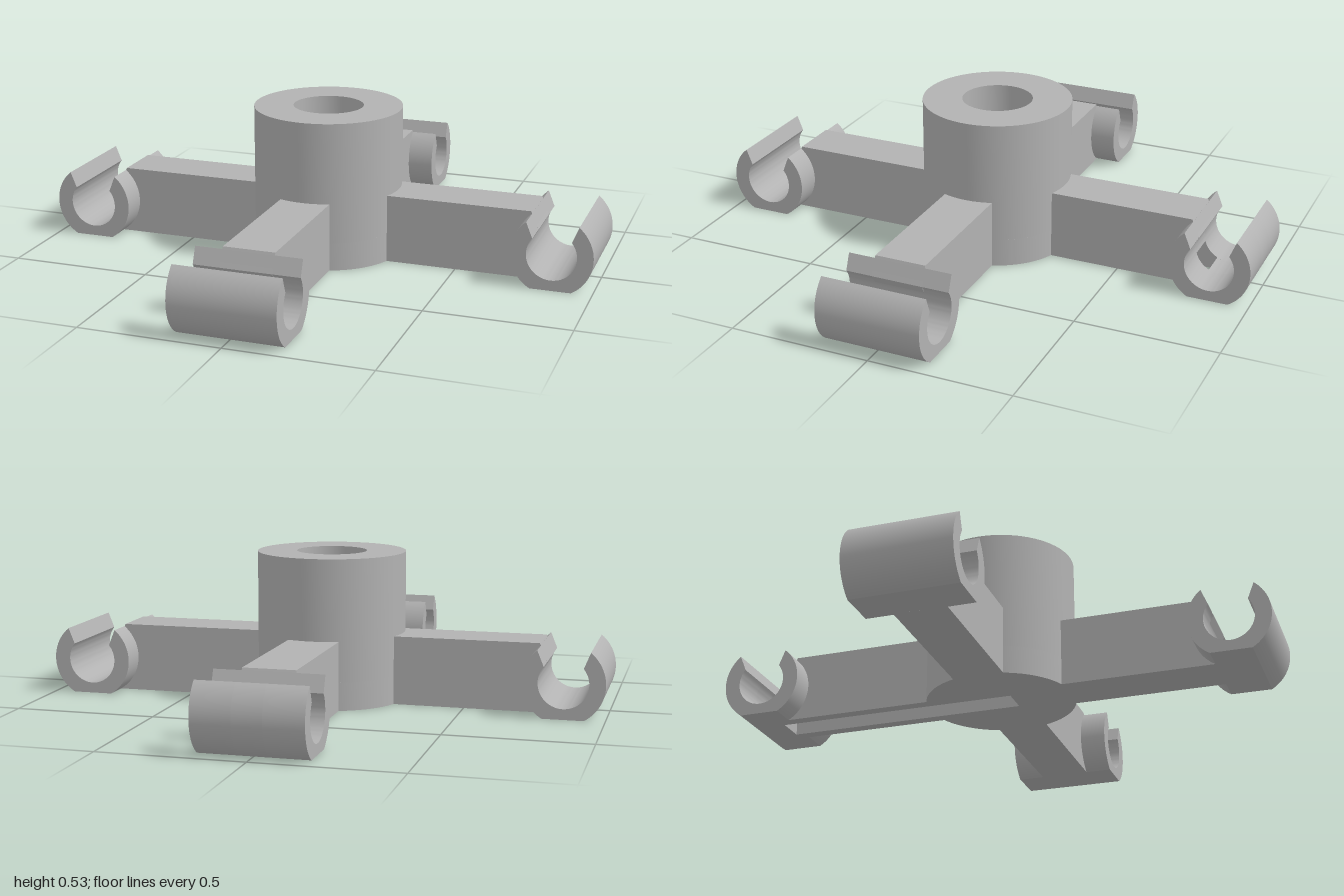
import * as THREE from 'three';
import { toCreasedNormals } from 'three/addons/utils/BufferGeometryUtils.js';

const SLOT_HEIGHT = 0.1, SLOT_HALF = 0.05, SLOT_END = 0.82;
const ARM_HALF = 0.09, CLIP_HALF = 0.185;
const CLIP_X = 0.857, CLIP_Y = 0.124, INNER = 0.087, OUTER = 0.143;

export function createModel() {
  const grey = new THREE.MeshStandardMaterial({ color: 0xb2b2b2 });
  grey.name = 'plain grey';
  const model = new THREE.Group();
  model.name = 'fourArmClipHub';

  const addMesh = (parent, name, geometry) => {
    const mesh = new THREE.Mesh(toCreasedNormals(geometry, 0.5), grey);
    mesh.name = name;
    parent.add(mesh);
  };

  // Extrudes a side profile across the arm, from z0 to z1
  const slab = (parent, name, points, z0, z1) => {
    const shape = new THREE.Shape(points.map(([x, y]) => new THREE.Vector2(x, y)));
    const geometry = new THREE.ExtrudeGeometry(shape, { depth: z1 - z0, bevelEnabled: false });
    geometry.translate(0, 0, z0);
    addMesh(parent, name, geometry);
  };

  // Points on a circle about the clip axis, angles in degrees
  const arc = (r, from, to) => {
    const n = Math.max(6, Math.ceil(Math.abs(to - from) / 5));
    return Array.from({ length: n + 1 }, (_, i) => {
      const a = THREE.MathUtils.degToRad(from + ((to - from) * i) / n);
      return [CLIP_X + r * Math.cos(a), CLIP_Y + r * Math.sin(a)];
    });
  };

  // C-shaped clip profile with a flared mouth and a flat foot
  const clip = [...arc(INNER, 140.7, 399.3), ...arc(OUTER, 411, 299.9), ...arc(OUTER, 240.1, 129)];
  // The two parts of that profile left where the slot cuts through
  const nearJaw = [...arc(INNER, 140.7, 196), ...arc(OUTER, 189.7, 129)];
  const farJaw = [...arc(INNER, 244.8, 399.3), ...arc(OUTER, 411, 299.9), [SLOT_END, 0]];

  // Arm profile, ending inside the clip wall and along the mouth
  const armTop = [[0.745, SLOT_HEIGHT], [0.79, 0.179], [0.763, 0.243], [0.2, 0.243]];
  const arm = [[0.2, 0], [0.79, 0], ...armTop];
  const armOverSlot = [[0.2, SLOT_HEIGHT], ...armTop];

  // Hub with a wide bore above a narrow through hole
  const hubProfile = [
    [0.05, SLOT_HEIGHT], [0.265, SLOT_HEIGHT], [0.265, 0.53], [0.125, 0.53],
    [0.125, 0.25], [0.05, 0.25], [0.05, SLOT_HEIGHT],
  ].map(([x, y]) => new THREE.Vector2(x, y));
  addMesh(model, 'hub', new THREE.LatheGeometry(hubProfile, 72));

  // Hub base, notched by the slot running to the back
  const edge = Math.acos(SLOT_HALF / 0.265);
  const base = new THREE.Shape();
  base.absarc(0, 0, 0.265, Math.PI - edge, Math.PI * 2 + edge, false);
  base.lineTo(SLOT_HALF, -SLOT_HALF);
  base.lineTo(-SLOT_HALF, -SLOT_HALF);
  base.closePath();
  const baseGeometry = new THREE.ExtrudeGeometry(base, {
    depth: SLOT_HEIGHT, bevelEnabled: false, curveSegments: 72,
  });
  baseGeometry.rotateX(-Math.PI / 2);
  addMesh(model, 'hubBase', baseGeometry);

  // Four arms, each carrying a clip; the back one is slotted underneath
  ['leftArm', 'backArm', 'rightArm', 'frontArm'].forEach((name, i) => {
    const group = new THREE.Group();
    group.name = name;
    group.rotation.y = (i * Math.PI) / 2;
    model.add(group);
    if (name === 'backArm') {
      slab(group, 'armSide', arm, SLOT_HALF, ARM_HALF);
      slab(group, 'armSide', arm, -ARM_HALF, -SLOT_HALF);
      slab(group, 'armOverSlot', armOverSlot, -SLOT_HALF, SLOT_HALF);
      slab(group, 'clipSide', clip, SLOT_HALF, CLIP_HALF);
      slab(group, 'clipSide', clip, -CLIP_HALF, -SLOT_HALF);
      slab(group, 'clipNearJaw', nearJaw, -SLOT_HALF, SLOT_HALF);
      slab(group, 'clipFarJaw', farJaw, -SLOT_HALF, SLOT_HALF);
    } else {
      slab(group, 'arm', arm, -ARM_HALF, ARM_HALF);
      slab(group, 'clip', clip, -CLIP_HALF, CLIP_HALF);
    }
  });

  return model;
}
